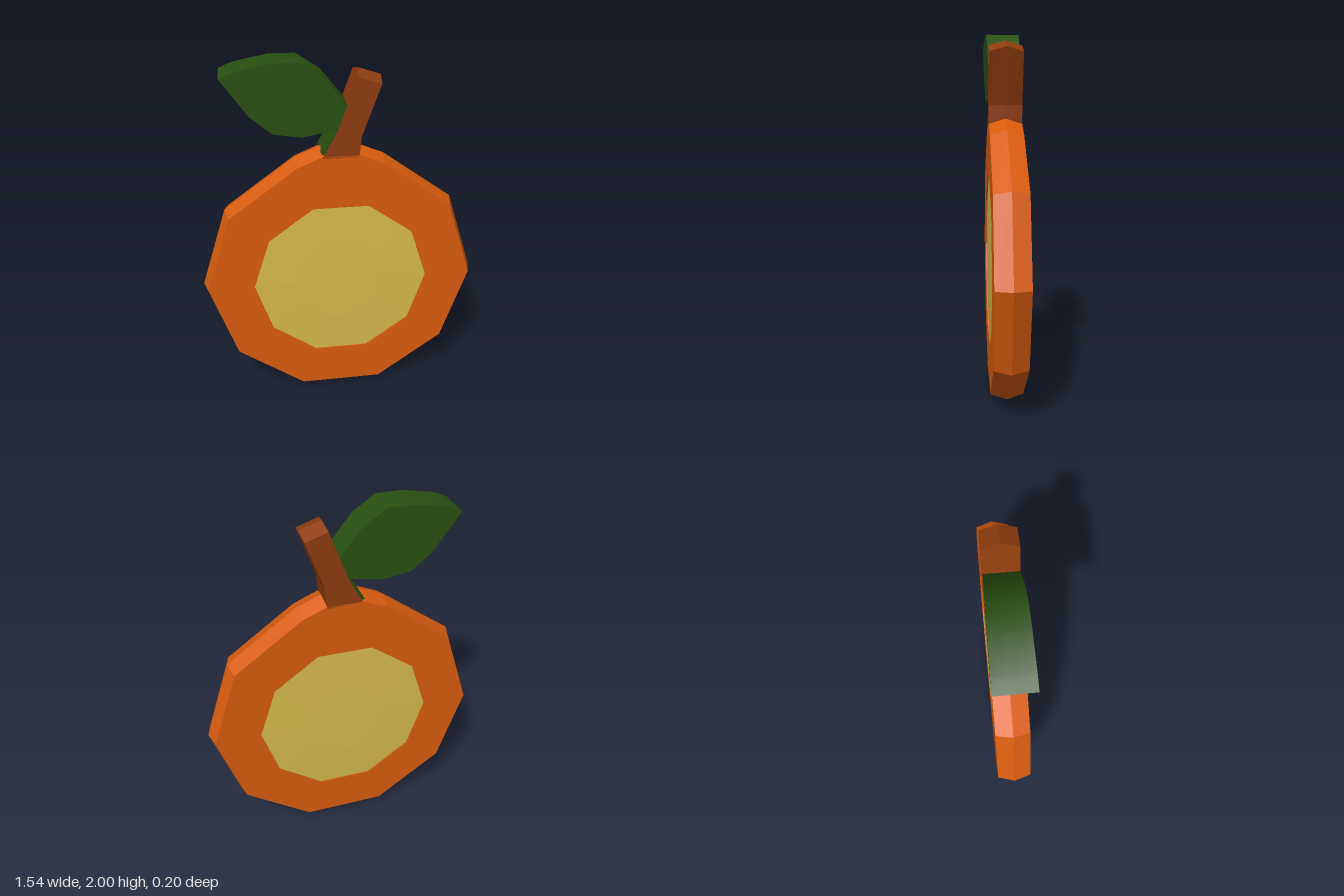
import * as THREE from 'three';
import { toCreasedNormals } from 'three/addons/utils/BufferGeometryUtils.js';

const CY = 0.737; // height of the fruit centre
const HALF = 0.09; // half thickness

const decagon = (r) => Array.from({ length: 10 }, (_, i) => {
  const a = (i / 10) * Math.PI * 2;
  return new THREE.Vector2(Math.cos(a) * r, Math.sin(a) * r);
});

const vec = (list) => list.map(([x, y]) => new THREE.Vector2(x, y));

// Slab centred on z = 0; edit(v, isMiddle) may shift each vertex
function slab(outline, half, edit, hole) {
  const shape = new THREE.Shape(outline);
  if (hole) shape.holes.push(new THREE.Path(hole));
  const geo = new THREE.ExtrudeGeometry(shape, { depth: half * 2, steps: 2, bevelEnabled: false });
  geo.translate(0, 0, -half);
  const pos = geo.attributes.position;
  const v = new THREE.Vector3();
  for (let i = 0; i < pos.count; i++) {
    v.fromBufferAttribute(pos, i);
    edit(v, Math.abs(v.z) < 0.01);
    pos.setXYZ(i, v.x, v.y, v.z);
  }
  geo.computeVertexNormals();
  return geo;
}

export function createModel() {
  const group = new THREE.Group();
  const add = (name, geo, color, flatShading = true) => {
    const mesh = new THREE.Mesh(geo, new THREE.MeshStandardMaterial({ color, flatShading }));
    mesh.name = name;
    group.add(mesh);
    return mesh;
  };

  // Rind: ten-sided ring with a raised crown and a ridge around the rim
  const rim = decagon(0.745);
  rim.splice(3, 0, new THREE.Vector2(0.1, 0.763), new THREE.Vector2(-0.1, 0.763));
  const rind = slab(rim, HALF, (v, middle) => {
    if (middle && Math.hypot(v.x, v.y) > 0.6) {
      v.x *= 1.035;
      v.y *= 1.038;
    }
  }, decagon(0.49));
  add('rind', rind, 0xd95c0e).position.y = CY;

  // Flesh: shallow faceted lens filling the ring
  const profile = vec([[0, -0.092], [0.25, -0.09], [0.49, -0.083], [0.49, 0.083], [0.25, 0.09], [0, 0.092]]);
  const flesh = new THREE.LatheGeometry(profile, 10, Math.PI / 2);
  flesh.rotateX(Math.PI / 2);
  add('flesh', flesh, 0xd6ba4e).position.y = CY;

  // Stem: bent slab with a ridged tip
  const stem = slab(
    vec([[-0.1, 1.49], [0.095, 1.49], [0.105, 1.6], [0.205, 1.875], [0.085, 1.915], [-0.02, 1.635]]),
    HALF,
    (v, middle) => {
      if (middle && v.y > 1.8) {
        v.x += 0.01;
        v.y += 0.025;
      } else if (middle && v.x > 0) v.x += 0.006;
    });
  add('stem', stem, 0x8f3c0e);

  // Leaf: thick blade, slightly wider towards the tip
  const leaf = slab(
    vec([[0.04, 1.76], [-0.09, 1.92], [-0.21, 2], [-0.35, 2], [-0.53, 1.965], [-0.6, 1.935],
      [-0.46, 1.735], [-0.35, 1.64], [-0.2, 1.615], [0, 1.65]]),
    1,
    (v) => { v.z *= 0.088 - v.x * 0.02; });
  add('leaf', toCreasedNormals(leaf, 0.7), 0x285010, false);

  // Leaf stalk: small wedge joining the leaf to the stem base
  const stalk = slab(
    vec([[-0.105, 1.515], [-0.05, 1.5], [0.03, 1.65], [0.03, 1.75], [-0.025, 1.645]]),
    0.088, () => {});
  add('leafStalk', stalk, 0x285010);

  return group;
}
